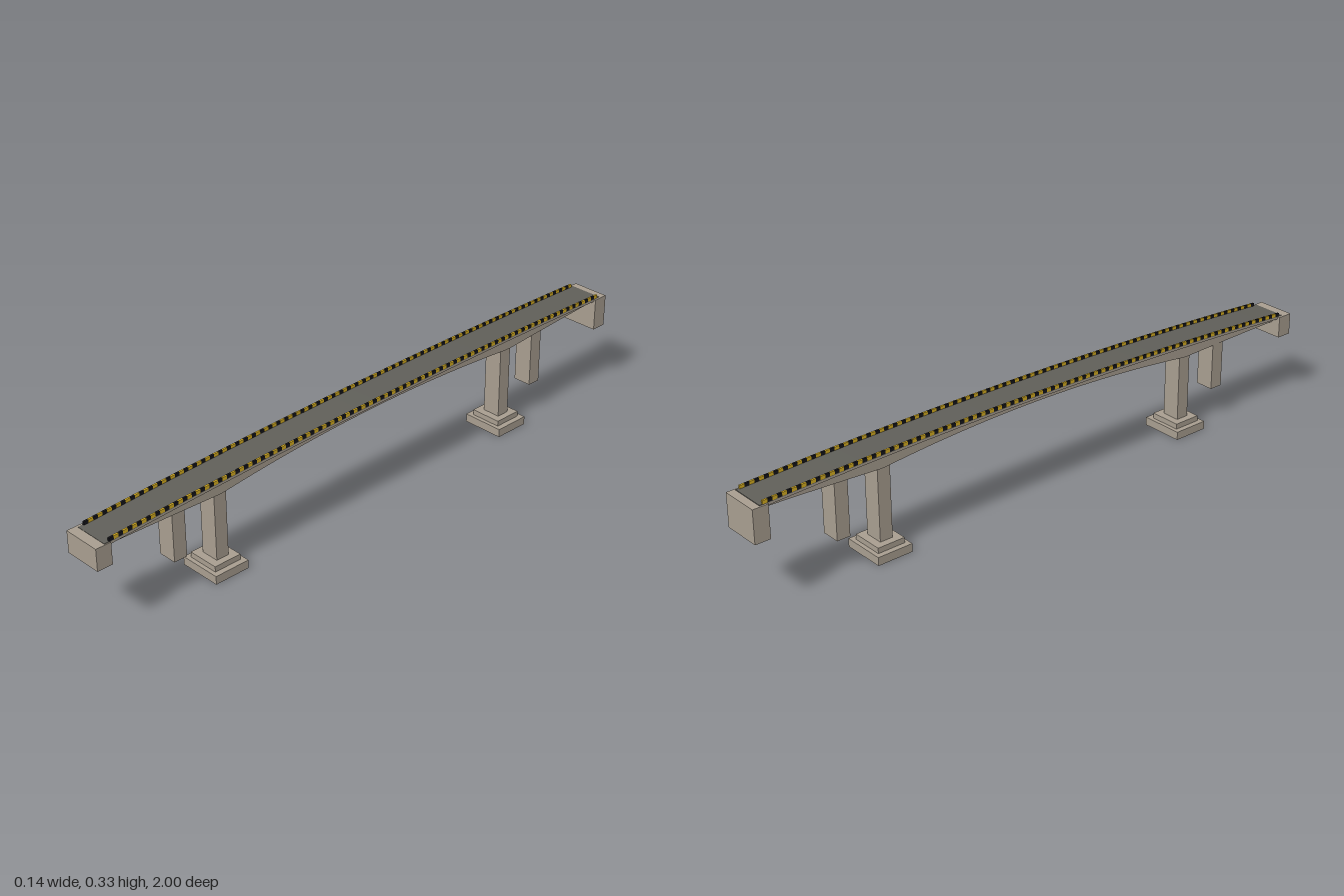
import * as THREE from 'three';
import { mergeGeometries } from 'three/addons/utils/BufferGeometryUtils.js';

const concrete = new THREE.MeshStandardMaterial({ color: 0xa89e90 });
concrete.name = 'concrete';
const asphalt = new THREE.MeshStandardMaterial({ color: 0x605f59 });
asphalt.name = 'asphalt';
const yellow = new THREE.MeshStandardMaterial({ color: 0xd9b021 });
yellow.name = 'yellow paint';
const black = new THREE.MeshStandardMaterial({ color: 0x15151a });
black.name = 'black paint';

// Road surface height, slight sideways bow and girder depth along the bridge
const deckY = z => 0.321 - 0.016 * z - 0.025 * z * z;
const deckX = z => 0.002 - 0.006 * z * z;
const PIER = 0.57;
const girderDepth = z => {
  const a = Math.abs(z);
  if (a < PIER) return 0.031 + 0.024 * (a / PIER) ** 2;
  return 0.055 - 0.031 * (a - PIER) / (0.96 - PIER);
};

// Box bent along the deck: x0..x1 across, top/bottom are heights as functions of z
function bentBox(x0, x1, z0, z1, segments, top, bottom) {
  const g = new THREE.BoxGeometry(x1 - x0, 1, z1 - z0, 1, 1, segments);
  g.translate((x0 + x1) / 2, 0, (z0 + z1) / 2);
  const p = g.attributes.position;
  for (let i = 0; i < p.count; i++) {
    const z = p.getZ(i);
    p.setXYZ(i, p.getX(i) + deckX(z), p.getY(i) > 0 ? top(z) : bottom(z), z);
  }
  g.computeVertexNormals();
  return g;
}

export function createModel() {
  const model = new THREE.Group();
  const add = (name, geometry, material, parent = model) => {
    const mesh = new THREE.Mesh(geometry, material);
    mesh.name = name;
    parent.add(mesh);
    return mesh;
  };
  const block = (name, x0, x1, y0, y1, z0, z1, parent) => {
    const mesh = add(name, new THREE.BoxGeometry(x1 - x0, y1 - y0, z1 - z0), concrete, parent);
    mesh.position.set((x0 + x1) / 2, (y0 + y1) / 2, (z0 + z1) / 2);
  };

  // Deck: road surface, slab and haunched girder
  add('roadSurface', bentBox(-0.055, 0.055, -0.975, 0.97, 64, deckY, z => deckY(z) - 0.003), asphalt);
  add('deckSlab', bentBox(-0.055, 0.055, -0.97, 0.965, 64,
    z => deckY(z) - 0.003, z => deckY(z) - 0.01), concrete);
  add('girder', bentBox(-0.034, 0.034, -0.96, 0.96, 96,
    z => deckY(z) - 0.01, z => deckY(z) - girderDepth(z)), concrete);

  // Striped curbs along both edges
  const stripes = [[], []];
  const count = 128, start = -0.965, step = 1.92 / count;
  for (const side of [-1, 1]) {
    for (let i = 0; i < count; i++) {
      const z = start + i * step, x = side * 0.0525;
      stripes[i % 2].push(bentBox(x - 0.003, x + 0.003, z, z + step, 1,
        t => deckY(t) + 0.0095, t => deckY(t) - 0.001));
    }
  }
  add('yellowCurbStripes', mergeGeometries(stripes[0]), yellow);
  add('blackCurbStripes', mergeGeometries(stripes[1]), black);

  // End abutments
  block('frontAbutment', -0.067, 0.055, 0.213, 0.281, 0.951, 1);
  block('backAbutment', -0.064, 0.058, 0.208, 0.311, -1, -0.951);

  // Main piers on stepped footings
  for (const [name, z] of [['frontPier', 0.57], ['backPier', -0.565]]) {
    const pier = new THREE.Group();
    pier.name = name;
    model.add(pier);
    const top = deckY(z) - 0.03;
    block('column', -0.03, 0.029, 0.04, top, z - 0.021, z + 0.021, pier);
    block('upperFooting', -0.052, 0.05, 0.026, 0.043, z - 0.045, z + 0.045, pier);
    block('lowerFooting', -0.069, 0.068, 0, 0.026, z - 0.058, z + 0.058, pier);
  }

  // Shorter outer piers
  block('frontOuterPier', -0.032, 0.028, 0.103, deckY(0.71) - 0.02, 0.691, 0.734);
  block('backOuterPier', -0.031, 0.029, 0.1, deckY(-0.706) - 0.02, -0.727, -0.684);

  return model;
}
